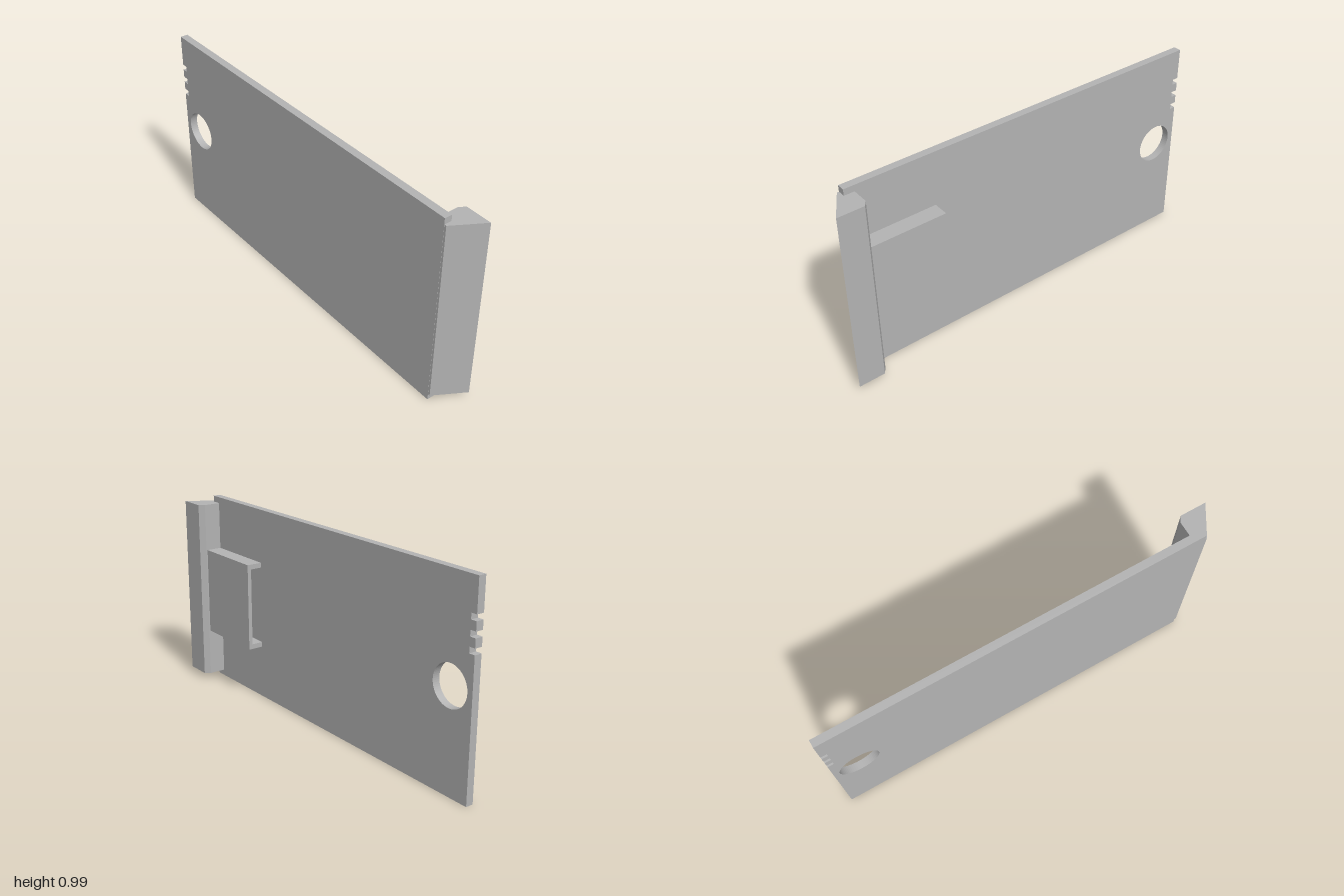
import * as THREE from 'three';

const polygon = (points) => new THREE.Shape(points.map(([a, b]) => new THREE.Vector2(a, b)));

const extrude = (shape, depth) =>
  new THREE.ExtrudeGeometry(shape, { depth, bevelEnabled: false, curveSegments: 32 });

export function createModel() {
  const group = new THREE.Group();
  const grey = new THREE.MeshStandardMaterial({ color: 0xb3b3b3 });
  grey.name = 'grey';

  const add = (name, geometry) => {
    const mesh = new THREE.Mesh(geometry, grey);
    mesh.name = name;
    group.add(mesh);
  };

  // Flat panel drawn in (z, y), with three notches in its rear edge
  const outline = [[-1, 0], [0.9, 0], [0.9, 0.99], [-1, 0.99]];
  for (const y of [0.82, 0.75, 0.68]) {
    outline.push([-1, y + 0.014], [-0.97, y + 0.014], [-0.97, y - 0.014], [-1, y - 0.014]);
  }
  const panel = polygon(outline);
  // Round finger hole
  const hole = new THREE.Path();
  hole.absarc(-0.873, 0.497, 0.099, 0, Math.PI * 2, true);
  panel.holes.push(hole);
  const panelGeometry = extrude(panel, 0.038);
  panelGeometry.rotateY(-Math.PI / 2);
  panelGeometry.translate(-0.037, 0, 0);
  add('panel', panelGeometry);

  // Slanted front bar drawn in (x, z), extruded upward
  const bar = polygon([
    [-0.074, 0.91], [0.075, 1], [0.075, 0.87], [0.048, 0.85],
    [-0.037, 0.85], [-0.037, 0.9], [-0.074, 0.9],
  ].map(([x, z]) => [x, -z]));
  const barGeometry = extrude(bar, 0.928);
  barGeometry.rotateX(-Math.PI / 2);
  barGeometry.translate(0, 0.031, 0);
  add('frontBar', barGeometry);

  // C-shaped sleeve, open at the rear
  const sleeve = polygon([
    [-0.037, 0.275], [0.042, 0.275], [0.042, 0.72], [-0.037, 0.72],
    [-0.037, 0.695], [0.022, 0.695], [0.022, 0.3], [-0.037, 0.3],
  ]);
  const sleeveGeometry = extrude(sleeve, 0.377);
  sleeveGeometry.translate(0, 0, 0.473);
  add('sleeve', sleeveGeometry);

  return group;
}
